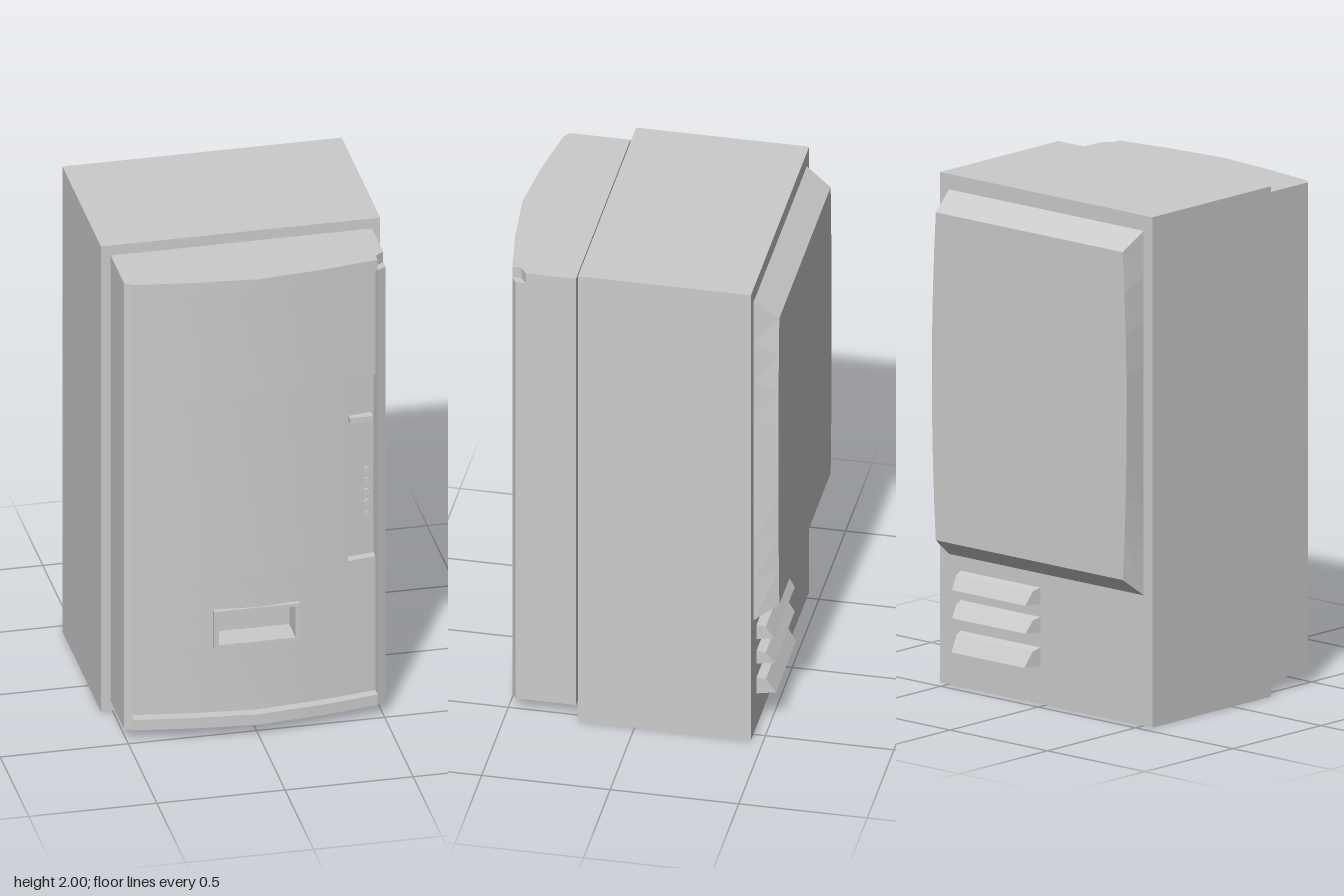
import * as THREE from 'three';
import { toCreasedNormals } from 'three/addons/utils/BufferGeometryUtils.js';

const material = new THREE.MeshStandardMaterial({ color: 0xcccccc });

// Bowed front of the door as [x, z]
const BOW = [[-0.51, 0.47], [-0.48, 0.49], [-0.25, 0.525], [0, 0.548], [0.25, 0.525], [0.475, 0.49], [0.51, 0.47]];

function bowZ(x) {
  for (let i = 1; i < BOW.length; i++) {
    const [x0, z0] = BOW[i - 1], [x1, z1] = BOW[i];
    if (x <= x1) return z0 + (z1 - z0) * (x - x0) / (x1 - x0);
  }
  return BOW[BOW.length - 1][1];
}

function add(parent, name, geometry, x = 0, y = 0, z = 0) {
  const mesh = new THREE.Mesh(geometry, material);
  mesh.name = name;
  mesh.position.set(x, y, z);
  parent.add(mesh);
  return mesh;
}

// Box given by its limits
function block(parent, name, x0, x1, y0, y1, z0, z1) {
  return add(parent, name, new THREE.BoxGeometry(x1 - x0, y1 - y0, z1 - z0),
    (x0 + x1) / 2, (y0 + y1) / 2, (z0 + z1) / 2);
}

// Upright prism from a plan outline of [x, z] points
function prism(parent, name, plan, y0, y1) {
  const shape = new THREE.Shape(plan.map(([x, z]) => new THREE.Vector2(x, -z)));
  const geo = new THREE.ExtrudeGeometry(shape, { depth: y1 - y0, bevelEnabled: false });
  geo.rotateX(-Math.PI / 2);
  return add(parent, name, toCreasedNormals(geo, 0.3), 0, y0, 0);
}

// Front points of the bow between x0 and x1, set back by inset
function bowPoints(x0, x1, inset) {
  const xs = [x0, ...BOW.map(p => p[0]).filter(x => x > x0 && x < x1), x1];
  return xs.map(x => [x, bowZ(x) - inset]);
}

const CORE = 0.4;
function slab(parent, name, x0, x1, y0, y1, inset = 0) {
  return prism(parent, name, [[x0, CORE], ...bowPoints(x0, x1, inset), [x1, CORE]], y0, y1);
}

// Raised rear cover: sloped borders, sides that swell at mid height
function rearCoverGeometry() {
  const n = 8, pos = [];
  const quad = (a, b, c, d) => pos.push(...a, ...b, ...c, ...a, ...c, ...d);
  const base = (s, t) => [s * 0.5, 0.51 + 1.43 * t, -0.452];
  const outer = (s, t) => [s * (0.48 + 0.08 * t * (1 - t)), 0.585 + 1.285 * t, -0.55];
  for (let i = 0; i < n; i++) {
    const t = i / n, u = (i + 1) / n;
    quad(outer(1, t), outer(-1, t), outer(-1, u), outer(1, u));
    quad(base(1, t), outer(1, t), outer(1, u), base(1, u));
    quad(base(-1, t), base(-1, u), outer(-1, u), outer(-1, t));
  }
  quad(base(1, 1), outer(1, 1), outer(-1, 1), base(-1, 1));
  quad(base(1, 0), base(-1, 0), outer(-1, 0), outer(1, 0));
  const geo = new THREE.BufferGeometry();
  geo.setAttribute('position', new THREE.Float32BufferAttribute(pos, 3));
  geo.computeVertexNormals();
  return geo;
}

// Louvre hood: side profile run along x, with its lip drawn in at the ends
function ventGeometry(height, lip) {
  const w = 0.41;
  const shape = new THREE.Shape([[0, 0], [lip, 0.003], [0.035, height - 0.01], [0, height]]
    .map(p => new THREE.Vector2(...p)));
  const geo = new THREE.ExtrudeGeometry(shape, { depth: w, bevelEnabled: false });
  const p = geo.attributes.position;
  for (let i = 0; i < p.count; i++) {
    const out = p.getX(i), along = p.getZ(i);
    p.setZ(i, along + (along < w / 2 ? 1 : -1) * out * 0.25);
  }
  geo.rotateY(Math.PI / 2); // profile now points to -z
  geo.computeVertexNormals();
  return geo;
}

export function createModel() {
  const model = new THREE.Group();
  model.name = 'vendingMachine';

  // Cabinet
  block(model, 'cabinet', -0.545, 0.545, 0, 2, -0.453, 0.22);
  add(model, 'rearCover', rearCoverGeometry());
  for (const [y, h, lip] of [[0.39, 0.065, 0.068], [0.28, 0.06, 0.068], [0.147, 0.073, 0.073]])
    add(model, 'vent', ventGeometry(h, lip), 0.03, y, -0.452);

  // Door core and its raised border
  const door = new THREE.Group();
  door.name = 'door';
  model.add(door);
  block(door, 'doorCore', -0.51, 0.51, 0.05, 1.965, 0.235, CORE);
  slab(door, 'bottomRail', -0.51, 0.51, 0.05, 0.095);
  slab(door, 'leftPost', -0.51, -0.48, 0.095, 1.92);
  slab(door, 'rightPost', 0.475, 0.51, 0.095, 1.92);
  // Top rail with a notched corner
  prism(door, 'topRail', [[-0.51, CORE], ...bowPoints(-0.51, 0.475, 0),
    [0.475, 0.455], [0.51, 0.43], [0.51, CORE]], 1.92, 1.965);

  // Sunken front panel, left open for the delivery hatch and the control strip
  const inset = 0.04, hatch = { x: 0.15, y0: 0.39, y1: 0.522 };
  const strip = { x0: 0.365, x1: 0.475, y0: 0.67, y1: 1.455 };
  for (const [x0, x1, y0, y1] of [
    [-0.48, 0.475, 0.095, hatch.y0],
    [-0.48, -hatch.x, hatch.y0, hatch.y1],
    [hatch.x, 0.475, hatch.y0, hatch.y1],
    [-0.48, 0.475, hatch.y1, strip.y0],
    [-0.48, strip.x0, strip.y0, strip.y1],
    [-0.48, 0.475, strip.y1, 1.92],
  ]) slab(door, 'frontPanel', x0, x1, y0, y1, inset);

  // Hatch frame
  const frame = new THREE.Shape([[-0.168, 0.375], [0.166, 0.375], [0.166, 0.535], [-0.168, 0.535]]
    .map(p => new THREE.Vector2(...p)));
  frame.holes.push(new THREE.Path([[-hatch.x, hatch.y0], [-hatch.x, hatch.y1], [hatch.x, hatch.y1], [hatch.x, hatch.y0]]
    .map(p => new THREE.Vector2(...p))));
  add(door, 'hatchFrame', new THREE.ExtrudeGeometry(frame, { depth: 0.04, bevelEnabled: false }), 0, 0, 0.473);

  // Control strip with coin shelf and a row of buttons
  slab(door, 'controlStrip', strip.x0, strip.x1, strip.y0, strip.y1, inset + 0.035);
  block(door, 'coinShelf', 0.375, 0.465, 1.25, 1.275, 0.41, 0.452);
  const button = new THREE.CylinderGeometry(0.013, 0.013, 0.02, 12).rotateX(Math.PI / 2);
  for (let i = 0; i < 5; i++)
    add(door, 'button', button, 0.447, 0.845 + i * 0.047, bowZ(0.447) - inset - 0.035);

  return model;
}
